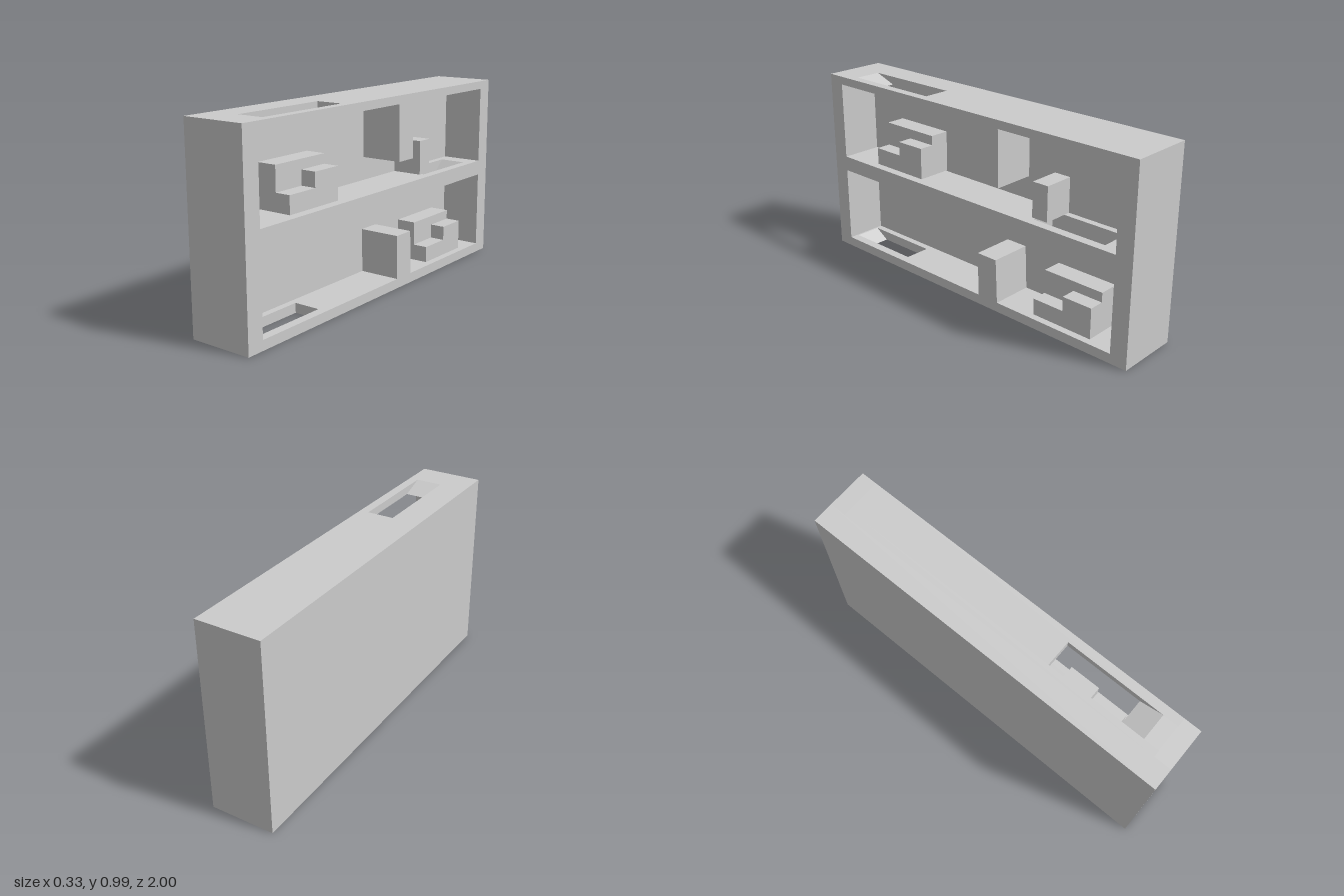
import * as THREE from 'three';

const BACK = -0.055, OPEN = 0.167, H = 0.993, END = 0.91;
const HOLE = [-0.02, 0.12]; // x range of the slots cut in the slabs

export function createModel() {
  const model = new THREE.Group();
  const material = new THREE.MeshStandardMaterial({ color: 0xcccccc, flatShading: true });

  // Extrudes a [z, y] outline across x from x0 to x1.
  function prism(parent, name, outline, x0, x1) {
    const shape = new THREE.Shape(outline.map(([z, y]) => new THREE.Vector2(-z, y)));
    const geometry = new THREE.ExtrudeGeometry(shape, { depth: x1 - x0, bevelEnabled: false });
    geometry.rotateY(Math.PI / 2).translate(x0, 0, 0);
    const mesh = new THREE.Mesh(geometry, material);
    mesh.name = name;
    parent.add(mesh);
  }
  const rect = (z0, z1, y0, y1) => [[z0, y0], [z1, y0], [z1, y1], [z0, y1]];

  function group(name) {
    const g = new THREE.Group();
    g.name = name;
    model.add(g);
    return g;
  }

  // Closed back and the two end walls
  prism(model, 'backWall', rect(-1, 1, 0, H), -OPEN, BACK);
  prism(model, 'frontEndWall', rect(END, 1, 0, H), BACK, OPEN);
  prism(model, 'rearEndWall', rect(-1, -END, 0, H), BACK, OPEN);

  // Slab with a slot: "low" and "high" are the slot's z ranges at its underside and top
  function slottedSlab(name, y0, y1, low, high) {
    const g = group(name);
    prism(g, 'innerStrip', rect(-END, END, y0, y1), BACK, HOLE[0]);
    prism(g, 'outerStrip', rect(-END, END, y0, y1), HOLE[1], OPEN);
    prism(g, 'rearPart', [[-END, y0], [low[0], y0], [high[0], y1], [-END, y1]], ...HOLE);
    prism(g, 'frontPart', [[low[1], y0], [END, y0], [END, y1], [high[1], y1]], ...HOLE);
  }
  slottedSlab('floor', 0, 0.05, [0.48, 0.82], [0.48, 0.9]);
  slottedSlab('middleShelf', 0.46, 0.54, [-0.73, -0.41], [-0.82, -0.41]);
  slottedSlab('roof', 0.95, H, [0.3, 0.71], [0.3, 0.83]);

  // Partial dividers, flush with the open side
  prism(model, 'upperDivider', [[-0.23, 0.66], [-0.11, 0.66], [-0.105, 0.95], [-0.225, 0.95]], BACK, OPEN);
  prism(model, 'lowerDivider', [[-0.225, 0.05], [-0.1, 0.05], [-0.095, 0.28], [-0.215, 0.28]], BACK, OPEN);

  // Stepped blocks: a tall rear half and a two-level outer half
  function steppedBlock(name, z, y) {
    const g = group(name);
    prism(g, 'tallHalf', rect(z, z + 0.34, y, y + 0.215), BACK, 0.05);
    prism(g, 'steppedHalf', [
      [z, y], [z + 0.34, y], [z + 0.34, y + 0.09],
      [z + 0.165, y + 0.09], [z + 0.165, y + 0.165], [z, y + 0.165],
    ], 0.05, 0.13);
  }
  steppedBlock('upperSteppedBlock', 0.34, 0.545);
  steppedBlock('lowerSteppedBlock', -0.77, 0.045);

  // Narrow post on the middle shelf
  prism(model, 'shelfPost', rect(-0.48, -0.39, 0.54, 0.72), BACK, 0.107);

  return model;
}
